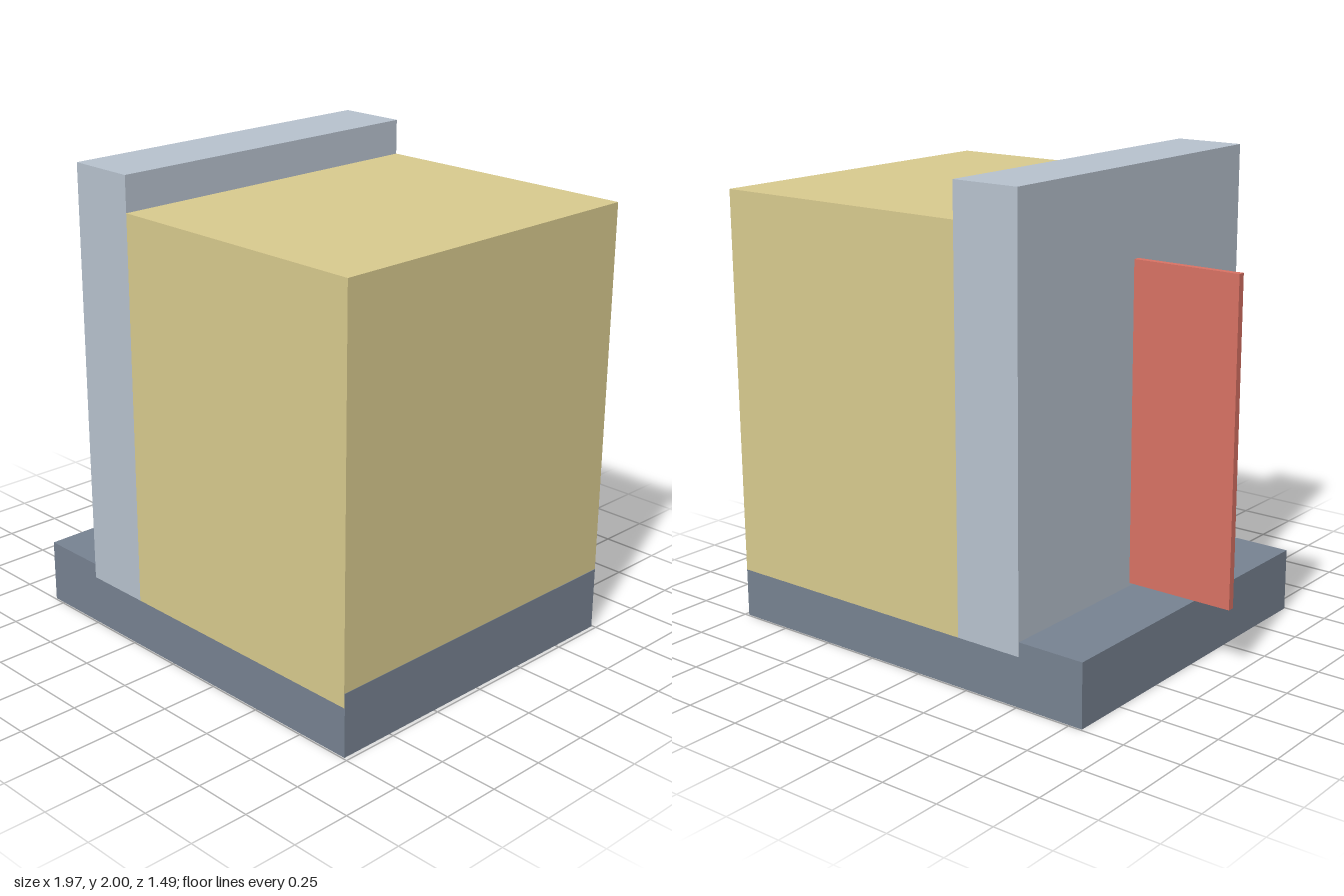
import * as THREE from 'three';

export function createModel() {
  const model = new THREE.Group();

  // Box given by its lower and upper bounds on x and y, and its depth centred on z = 0
  function addBox(name, color, [x0, x1], [y0, y1], depth) {
    const mesh = new THREE.Mesh(
      new THREE.BoxGeometry(x1 - x0, y1 - y0, depth),
      new THREE.MeshStandardMaterial({ color })
    );
    mesh.position.set((x0 + x1) / 2, (y0 + y1) / 2, 0);
    mesh.name = name;
    model.add(mesh);
  }

  // Hairline insets keep the sunken parts from sharing faces with the base
  const depth = 1.49, gap = 0.002;

  addBox('base', 0x778291, [-0.807, 0.982], [0, 0.27], depth - 2 * gap);
  addBox('mainBlock', 0xd8ca8e, [-0.208, 0.982 - gap], [0.21, 1.852], depth);
  addBox('sideWall', 0xb7c2ce, [-0.508, -0.208], [0.21, 2], depth);
  addBox('finPanel', 0xd87264, [-0.985, -0.508], [0.283, 1.63], 0.03);

  return model;
}
